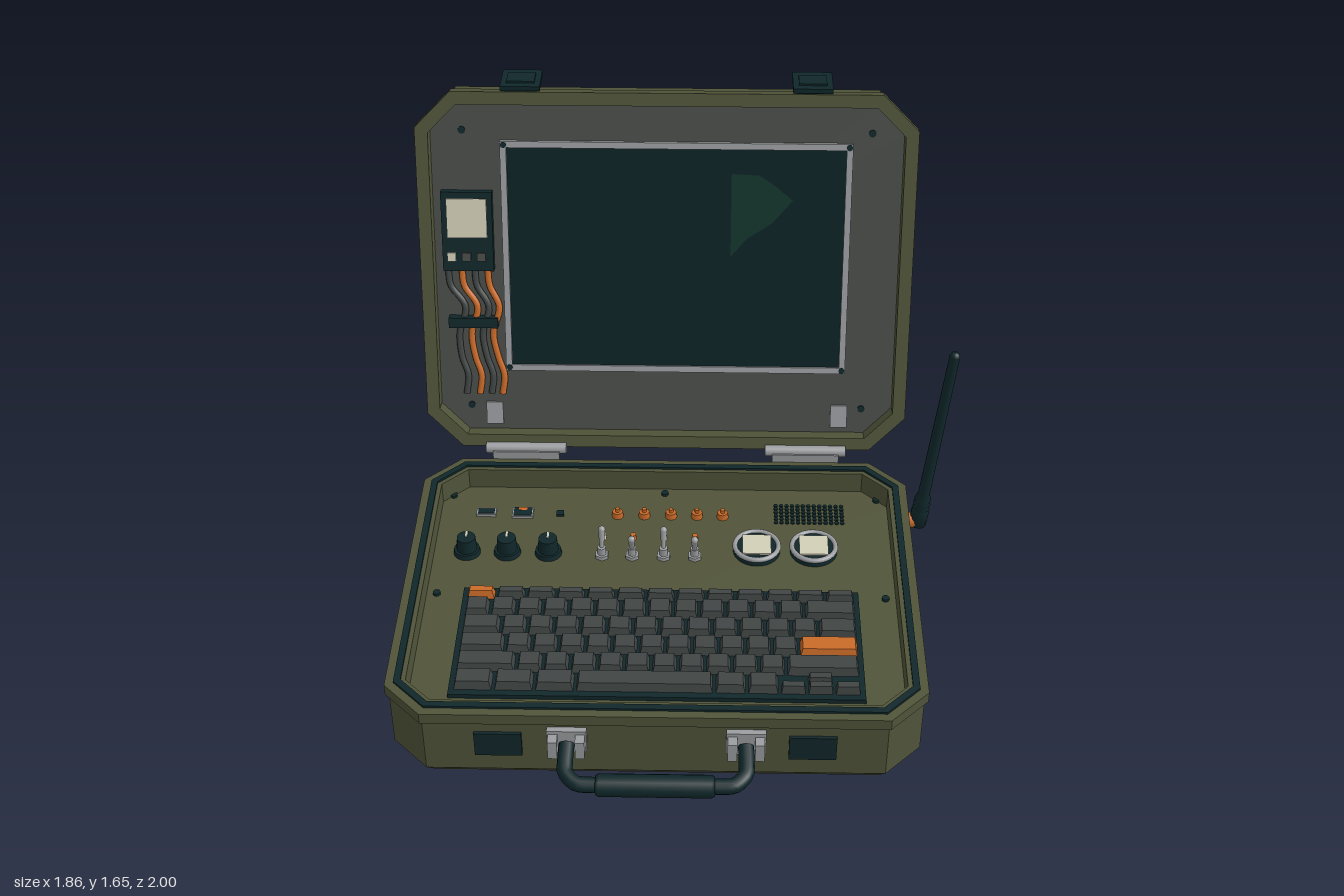
import * as THREE from 'three';

const mat = (name, color) => Object.assign(new THREE.MeshStandardMaterial({ color }), { name });
const olive = mat('olive case', 0x505439);
const dark = mat('dark rubber', 0x10272a);
const grey = mat('grey panel', 0x4a4d49);
const keyGrey = mat('key grey', 0x404544);
const metal = mat('light metal', 0x9b9da0);
const cream = mat('cream', 0xd3cfb8);
const orange = mat('orange', 0xc96a28);
const screenMat = mat('screen', 0x0c2224);
const green = mat('screen green', 0x10352a);

const CX = -0.07, CZ = 0.175, W = 0.86, D = 0.645, CH = 0.125;

function add(parent, name, geo, material, pos = [0, 0, 0], rot = [0, 0, 0]) {
  const m = new THREE.Mesh(geo, material);
  m.name = name;
  m.position.set(...pos);
  m.rotation.set(...rot);
  parent.add(m);
  return m;
}
const box = (w, h, d) => new THREE.BoxGeometry(w, h, d);
const cyl = (r1, r2, h, n = 20) => new THREE.CylinderGeometry(r1, r2, h, n);

// Octagonal loft through rings of [inset, height]
function loft(rings, capStart, capEnd, d0 = D) {
  const pts = rings.map(([inset, y]) => {
    const w = W - inset, d = d0 - inset, c = CH - inset * 0.586;
    return [[w, c - d], [w, d - c], [w - c, d], [c - w, d], [-w, d - c], [-w, c - d], [c - w, -d], [w - c, -d]]
      .map(([x, z]) => [x, y, z]);
  });
  const v = [];
  const tri = (...t) => t.forEach(p => v.push(...p));
  for (let i = 0; i < pts.length - 1; i++) for (let j = 0; j < 8; j++) {
    const k = (j + 1) % 8, A = pts[i], B = pts[i + 1];
    tri(A[j], B[j], A[k]);
    tri(A[k], B[j], B[k]);
  }
  const last = pts.length - 1;
  for (let j = 0; j < 8; j++) {
    const k = (j + 1) % 8;
    if (capStart) tri([0, rings[0][1], 0], pts[0][j], pts[0][k]);
    if (capEnd) tri([0, rings[last][1], 0], pts[last][k], pts[last][j]);
  }
  const g = new THREE.BufferGeometry();
  g.setAttribute('position', new THREE.Float32BufferAttribute(v, 3));
  g.computeVertexNormals();
  return g;
}

// Box with its top face pulled in
function keycap(w, h, d, t = 0.008) {
  const g = box(w, h, d).toNonIndexed(), p = g.attributes.position;
  for (let i = 0; i < p.count; i++) if (p.getY(i) > 0) {
    p.setX(i, p.getX(i) - Math.sign(p.getX(i)) * t);
    p.setZ(i, p.getZ(i) - Math.sign(p.getZ(i)) * t);
  }
  g.computeVertexNormals();
  return g;
}

function frame(w, h, t, depth) {
  const rect = (P, a, b) => {
    const s = new P();
    s.moveTo(-a, -b); s.lineTo(a, -b); s.lineTo(a, b); s.lineTo(-a, b); s.closePath();
    return s;
  };
  const s = rect(THREE.Shape, w / 2, h / 2);
  s.holes.push(rect(THREE.Path, w / 2 - t, h / 2 - t));
  return new THREE.ExtrudeGeometry(s, { depth, bevelEnabled: false });
}

function buildBase(root) {
  const g = new THREE.Group(); g.name = 'base'; root.add(g);
  add(g, 'baseShell', loft([[0.06, 0.022], [0.012, 0.08], [0.012, 0.285], [0, 0.29], [0, 0.33], [0.065, 0.33], [0.065, 0.25]], true, true), olive, [CX, 0, CZ]);
  add(g, 'gasket', loft([[0.028, 0.328], [0.028, 0.338], [0.05, 0.338], [0.05, 0.328]]), dark, [CX, 0, CZ]);
  for (const x of [-0.725, 0.585]) for (const z of [0.655, -0.29]) add(g, 'foot', cyl(0.055, 0.055, 0.026), dark, [x, 0.013, z]);
  // Stiffening ribs on the sides and back
  for (const s of [-1, 1]) for (const z of [0.515, 0.183, -0.145]) add(g, 'sideRib', keycap(0.155, 0.02, 0.092, 0.006), olive, [CX + s * (W - 0.006), 0.178, z], [0, 0, -s * Math.PI / 2]);
  for (const x of [-0.36, 0.22]) add(g, 'backRib', keycap(0.092, 0.02, 0.155, 0.006), olive, [x, 0.178, CZ - D + 0.006], [-Math.PI / 2, 0, 0]);
  // Front latch pads and carrying handle
  for (const x of [-0.565, 0.425]) add(g, 'latchPad', box(0.15, 0.095, 0.014), dark, [x, 0.198, CZ + D - 0.008]);
  for (const x of [-0.347, 0.215]) {
    add(g, 'handleBracket', box(0.125, 0.09, 0.02), metal, [x, 0.225, 0.818]);
    for (const s of [-1, 1]) add(g, 'handleLug', box(0.03, 0.07, 0.045), metal, [x + s * 0.043, 0.222, 0.842]);
  }
  const h = [[-0.347, 0.222, 0.835], [-0.347, 0.195, 0.925], [-0.31, 0.182, 0.962], [-0.24, 0.18, 0.965], [0.108, 0.18, 0.965], [0.178, 0.182, 0.962], [0.215, 0.195, 0.925], [0.215, 0.222, 0.835]];
  add(g, 'handleBar', new THREE.TubeGeometry(new THREE.CatmullRomCurve3(h.map(p => new THREE.Vector3(...p)), false, 'catmullrom', 0.3), 60, 0.025, 12), dark);
  const grip = [[0, -0.185], [0.03, -0.185], [0.036, -0.175], [0.036, 0.175], [0.03, 0.185], [0, 0.185]].map(p => new THREE.Vector2(...p));
  add(g, 'handleGrip', new THREE.LatheGeometry(grip, 18), dark, [-0.066, 0.18, 0.965], [0, 0, Math.PI / 2]);
  // Hinges
  for (const x of [-0.575, 0.435]) {
    add(g, 'hingeBarrel', cyl(0.02, 0.02, 0.29), metal, [x, 0.362, -0.496], [0, 0, Math.PI / 2]);
    add(g, 'hingeLeaf', box(0.24, 0.15, 0.014), metal, [x, 0.287, -0.477]);
    for (const s of [-1, 0, 1]) add(g, 'hingeScrew', cyl(0.013, 0.013, 0.01, 10), metal, [x + s * 0.08, 0.24, -0.486], [Math.PI / 2, 0, 0]);
  }
  // Antenna
  const a = new THREE.Group(); a.name = 'antenna'; a.position.set(0.838, 0.215, -0.29); g.add(a);
  add(a, 'antennaSocket', cyl(0.028, 0.028, 0.06, 12), orange, [-0.035, 0, 0], [0, 0, Math.PI / 2]);
  const rod = [[0, -0.02], [0.03, -0.015], [0.032, 0.045], [0.026, 0.05], [0.031, 0.06], [0.026, 0.07], [0.031, 0.08], [0.026, 0.09], [0.03, 0.1], [0.021, 0.125], [0.018, 0.72], [0.012, 0.733], [0, 0.735]].map(p => new THREE.Vector2(...p));
  add(a, 'antennaRod', new THREE.LatheGeometry(rod, 14), dark, [0, 0, 0], [0, 0, -0.1]);
}

function buildControls(root) {
  const g = new THREE.Group(); g.name = 'controlPanel'; g.position.y = 0.25; root.add(g);
  const screw = (x, z) => add(g, 'panelScrew', cyl(0.013, 0.013, 0.012, 10), dark, [x, 0.004, z]);
  for (const z of [-0.375, 0.74]) screw(CX, z);
  for (const x of [-0.83, 0.69]) for (const z of [-0.35, 0.175, 0.69]) screw(x, z);
  for (const x of [-0.75, -0.61, -0.467]) {
    add(g, 'knobSkirt', cyl(0.044, 0.047, 0.018, 24), dark, [x, 0.009, -0.045]);
    add(g, 'knob', cyl(0.032, 0.036, 0.055, 24), dark, [x, 0.04, -0.045]);
    add(g, 'knobMark', box(0.007, 0.004, 0.03), cream, [x, 0.069, -0.06]);
  }
  // Ports
  add(g, 'slotPortFrame', box(0.07, 0.012, 0.036), metal, [-0.703, 0.004, -0.255]);
  add(g, 'slotPort', box(0.058, 0.008, 0.026), dark, [-0.703, 0.009, -0.255]);
  add(g, 'dataPortFrame', box(0.074, 0.012, 0.052), metal, [-0.573, 0.004, -0.255]);
  add(g, 'dataPort', box(0.064, 0.008, 0.043), dark, [-0.573, 0.009, -0.255]);
  add(g, 'dataPortTab', box(0.03, 0.006, 0.016), orange, [-0.573, 0.012, -0.268]);
  add(g, 'smallPort', box(0.026, 0.012, 0.026), dark, [-0.44, 0.004, -0.255]);
  for (const x of [-0.235, -0.14, -0.045, 0.047, 0.138]) {
    add(g, 'connector', cyl(0.019, 0.021, 0.022, 8), orange, [x, 0.011, -0.25]);
    add(g, 'connectorPin', cyl(0.008, 0.008, 0.014, 8), orange, [x, 0.028, -0.25]);
  }
  // Toggle switches with lamps
  [-0.28, -0.175, -0.066, 0.042].forEach((x, i) => {
    add(g, 'lamp', cyl(0.01, 0.012, 0.02, 10), i % 2 ? orange : cream, [x, 0.01, -0.127]);
    add(g, 'toggleNut', cyl(0.025, 0.025, 0.014, 6), metal, [x, 0.007, -0.03]);
    add(g, 'toggleCollar', cyl(0.015, 0.015, 0.035, 10), metal, [x, 0.025, -0.03]);
    const t = new THREE.Group(); t.name = 'toggleLever'; t.position.set(x, 0.03, -0.03); t.rotation.x = i % 2 ? 0.35 : -0.35; g.add(t);
    add(t, 'lever', cyl(0.013, 0.007, 0.07, 10), metal, [0, 0.04, 0]);
    add(t, 'leverTip', new THREE.SphereGeometry(0.013, 10, 8), metal, [0, 0.075, 0]);
  });
  for (const x of [0.257, 0.455]) {
    add(g, 'gaugeBody', cyl(0.08, 0.082, 0.025, 28), dark, [x, 0.0125, -0.07]);
    add(g, 'gaugeRing', new THREE.TorusGeometry(0.076, 0.009, 8, 32), metal, [x, 0.024, -0.07], [Math.PI / 2, 0, 0]);
    add(g, 'gaugeFace', box(0.1, 0.008, 0.1), cream, [x, 0.027, -0.07]);
  }
  for (let i = 0; i < 13; i++) for (let j = 0; j < 6; j++) add(g, 'speakerHole', cyl(0.0075, 0.0075, 0.006, 8), dark, [0.328 + i * 0.0195, 0.002, -0.315 + j * 0.0185]);
}

function buildKeyboard(root) {
  const g = new THREE.Group(); g.name = 'keyboard'; g.position.y = 0.25; root.add(g);
  add(g, 'keyboardTray', box(1.335, 0.016, 0.51), dark, [CX, 0.008, 0.413]);
  const U = 1.31 / 15, x0 = -0.725;
  const ones = n => Array(n).fill(1);
  const rows = [
    [0.195, 0.04, Array(13).fill(15 / 13)],
    [0.265, 0.074, [...ones(13), 2]],
    [0.352, 0.074, [1.5, ...ones(12), 1.5]],
    [0.439, 0.074, [1.75, ...ones(11), 2.25]],
    [0.526, 0.074, [2.25, ...ones(10), 2.75]],
    [0.609, 0.074, [1.5, 1.5, 1.5, 5.1, 1.2, 1.2]],
  ];
  rows.forEach(([z, d, widths], r) => {
    let u = 0;
    widths.forEach((w, i) => {
      const hot = (r === 0 && i === 0) || (r === 3 && i === 12);
      add(g, 'key', keycap(w * U - 0.009, 0.034, d), hot ? orange : keyGrey, [x0 + (u + w / 2) * U, 0.03, z]);
      u += w;
    });
  });
  for (const [u, z] of [[12.5, 0.629], [13.5, 0.629], [14.5, 0.629], [13.5, 0.589]]) add(g, 'arrowKey', keycap(U - 0.009, 0.034, 0.034, 0.005), keyGrey, [x0 + u * U, 0.03, z]);
}

function buildLid(root) {
  // Lid space: y runs up the lid, -z goes into it
  const g = new THREE.Group(); g.name = 'lid'; g.position.set(0, 0.362, -0.505); g.rotation.x = -0.255; root.add(g);
  const flat = [-Math.PI / 2, 0, 0], mid = [CX, 0.65, 0], P = -0.055;
  add(g, 'lidShell', loft([[0.045, 0.06], [0.045, 0], [0, 0], [0, 0.045], [0.012, 0.05], [0.012, 0.135], [0.065, 0.19]], true, true, 0.65), olive, mid, flat);
  add(g, 'lidPanel', loft([[0.047, 0.055], [0.047, 0.059]], true, true, 0.65), grey, mid, flat);
  for (const x of [-0.5, 0, 0.5]) add(g, 'lidRib', keycap(0.1, 0.022, 0.8, 0.008), olive, [CX + x * 0.86, 0.64, -0.196], flat);
  for (const x of [-0.775, 0.635]) for (const y of [0.14, 1.155]) add(g, 'lidScrew', cyl(0.013, 0.013, 0.01, 10), dark, [x, y, P], [Math.PI / 2, 0, 0]);
  for (const x of [-0.692, 0.555]) add(g, 'lidBracket', box(0.06, 0.085, 0.014), metal, [x, 0.11, P]);
  // Display
  const sx = -0.037, sy = 0.7;
  add(g, 'screenFrame', frame(1.215, 0.84, 0.022, 0.018), metal, [sx, sy, P]);
  add(g, 'screen', box(1.18, 0.805, 0.008), screenMat, [sx, sy, P + 0.005]);
  for (const x of [-1, 1]) for (const y of [-1, 1]) add(g, 'frameScrew', cyl(0.011, 0.011, 0.008, 8), dark, [sx + x * 0.595, sy + y * 0.408, P + 0.017], [Math.PI / 2, 0, 0]);
  const sweep = new THREE.Shape([[0.155, 0.713], [0.21, 0.778], [0.3, 0.837], [0.368, 0.918], [0.3, 0.974], [0.25, 1.006], [0.155, 1.011]].map(p => new THREE.Vector2(...p)));
  add(g, 'screenSweep', new THREE.ShapeGeometry(sweep), green, [0, 0, P + 0.0105]);
  // Side unit with its cables
  add(g, 'unitBody', box(0.178, 0.285, 0.035), dark, [-0.765, 0.8, P + 0.015]);
  add(g, 'unitDisplay', box(0.14, 0.14, 0.008), cream, [-0.765, 0.85, P + 0.034]);
  [-0.822, -0.77, -0.718].forEach((x, i) => add(g, 'unitButton', box(0.03, 0.03, 0.01), i ? grey : cream, [x, 0.71, P + 0.035]));
  const z = P + 0.014;
  [[-0.838, -0.795, -0.79], [-0.79, -0.752, -0.742], [-0.745, -0.712, -0.7], [-0.7, -0.675, -0.66]].forEach(([a, b, c], i) => {
    const path = [[a, 0.67], [a + 0.005, 0.6], [b + 0.012, 0.52], [b - 0.012, 0.42], [c - 0.012, 0.33], [c + 0.008, 0.26], [c, 0.19]];
    add(g, 'cable', new THREE.TubeGeometry(new THREE.CatmullRomCurve3(path.map(([x, y]) => new THREE.Vector3(x, y, z))), 32, 0.0115, 8), i % 2 ? orange : keyGrey);
  });
  add(g, 'cableClip', box(0.175, 0.036, 0.04), dark, [-0.755, 0.465, P + 0.018]);
  // Opened latches along the top edge
  for (const x of [-0.565, 0.425]) {
    const l = new THREE.Group(); l.name = 'lidLatch'; l.position.set(x, 1.3, -0.03); l.rotation.x = 0.22; g.add(l);
    add(l, 'latchPlate', box(0.135, 0.016, 0.135), dark, [0, 0.02, -0.035]);
    add(l, 'latchRidge', box(0.095, 0.01, 0.07), dark, [0, 0.03, -0.03]);
    add(l, 'latchMount', box(0.11, 0.04, 0.03), dark, [0, 0.002, 0.005]);
  }
}

export function createModel() {
  const root = new THREE.Group();
  root.name = 'fieldComputer';
  buildBase(root);
  buildControls(root);
  buildKeyboard(root);
  buildLid(root);
  return root;
}
